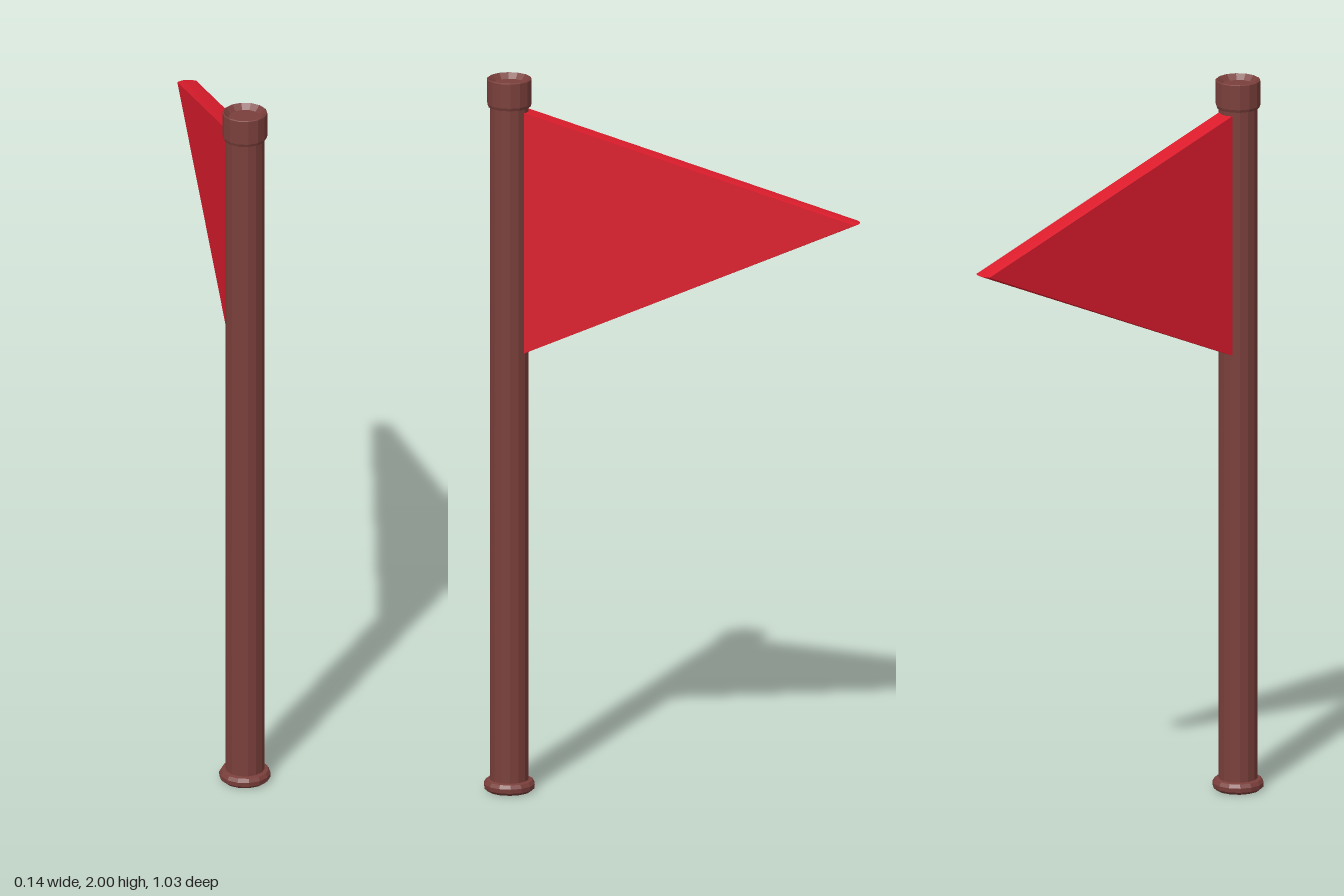
import * as THREE from 'three';

const SIDES = 14;
const POLE_Z = 0.447;

export function createModel() {
  const group = new THREE.Group();
  const wood = new THREE.MeshStandardMaterial({ color: 0x7a3f3b, flatShading: true });
  const cloth = new THREE.MeshStandardMaterial({ color: 0xdc1c2c, flatShading: true });

  // turned part around the pole axis, profile given as [radius, height]
  const turned = (name, profile) => {
    const points = profile.map(([r, y]) => new THREE.Vector2(r, y));
    const mesh = new THREE.Mesh(new THREE.LatheGeometry(points, SIDES), wood);
    mesh.name = name;
    mesh.position.z = POLE_Z;
    group.add(mesh);
  };

  // flared foot with a hollow underside
  turned('foot', [
    [0, 0.02], [0.042, 0.02], [0.046, 0.006], [0.06, 0],
    [0.069, 0.008], [0.07, 0.02], [0.064, 0.03], [0.053, 0.032],
  ]);

  // shaft
  turned('pole', [[0.053, 0.03], [0.053, 1.925]]);

  // collar at the top with a shallow dished end
  turned('cap', [
    [0.05, 1.922], [0.058, 1.922], [0.061, 1.93], [0.061, 1.998],
    [0.058, 2], [0.044, 1.985], [0, 1.985],
  ]);

  // triangular pennant, its tip rounded across the thickness
  const half = 0.026;
  const tip = 0.517;
  const shape = new THREE.Shape();
  shape.moveTo(-0.42, 1.916);
  shape.lineTo(-0.42, 1.227);
  shape.lineTo(tip, 1.64);
  shape.closePath();
  const flag = new THREE.ExtrudeGeometry(shape, { depth: 2 * half, steps: 6, bevelEnabled: false });
  flag.translate(0, 0, -half);
  const p = flag.attributes.position;
  for (let i = 0; i < p.count; i++) {
    if (p.getX(i) > 0.5) p.setX(i, tip - 0.01 * (p.getZ(i) / half) ** 2);
  }
  flag.rotateY(Math.PI / 2);
  flag.computeVertexNormals();
  const pennant = new THREE.Mesh(flag, cloth);
  pennant.name = 'pennant';
  group.add(pennant);

  return group;
}
